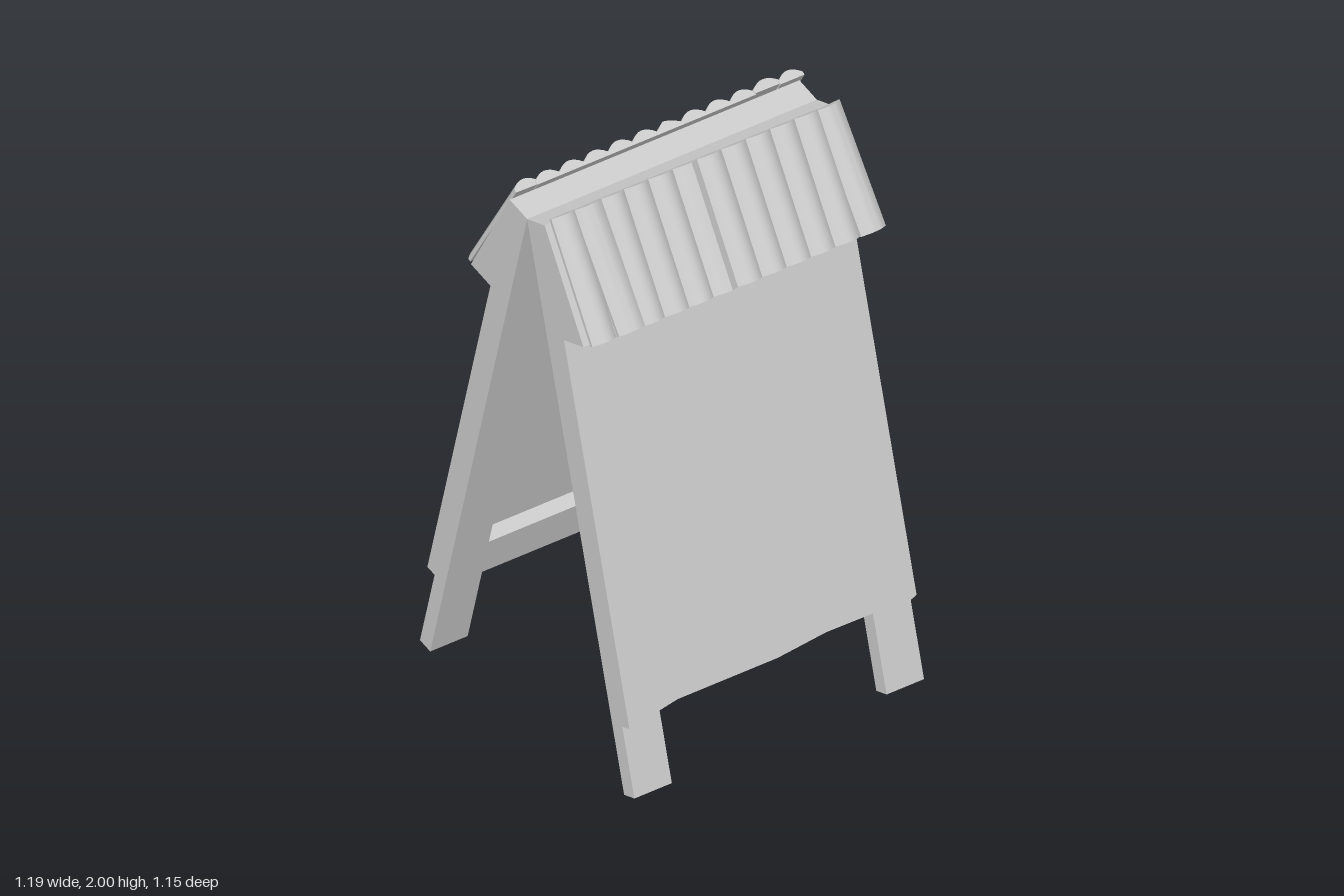
import * as THREE from 'three';
import { toCreasedNormals } from 'three/addons/utils/BufferGeometryUtils.js';

const mat = new THREE.MeshStandardMaterial({ color: 0xcccccc });
const LEAN = THREE.MathUtils.degToRad(15);
const HINGE = 1.94, LEG = 2.008, HALF = 0.58, CENTRE = -0.02;
const FRAME_T = 0.057, BOARD_T = 0.04, STILE = 0.15;

function mesh(name, geometry, parent) {
  const m = new THREE.Mesh(geometry, mat);
  m.name = name;
  parent.add(m);
  return m;
}

// Box given by its limits in x, y and z
function box(name, x0, x1, y0, y1, z0, z1, parent) {
  const m = mesh(name, new THREE.BoxGeometry(x1 - x0, y1 - y0, z1 - z0), parent);
  m.position.set((x0 + x1) / 2, (y0 + y1) / 2, (z0 + z1) / 2);
  return m;
}

const polygon = (pts) => new THREE.Shape(pts.map(([x, y]) => new THREE.Vector2(x, y)));
const extrude = (shape, depth, curveSegments = 8) =>
  new THREE.ExtrudeGeometry(shape, { depth, bevelEnabled: false, curveSegments });

// Corrugated sheet: rounded ribs between the given x edges, running down the slope
function ribbedSheet(name, edges, length, parent, foldedRib = -1) {
  const low = 0.012, peak = 0.036;
  const s = new THREE.Shape();
  const last = edges.length - 1;
  s.moveTo(edges[0], 0);
  s.lineTo(edges[last], 0);
  s.lineTo(edges[last], low);
  for (let i = last; i > 0; i--) {
    const a = edges[i - 1], b = edges[i];
    if (i - 1 === foldedRib) {
      // lapped joint: a flat face up to a ridge, then a slope back down
      const ridge = a + (b - a) * 0.63;
      s.lineTo(ridge, peak);
      s.quadraticCurveTo((a + ridge) / 2, peak - 0.002, a, low);
    } else {
      s.quadraticCurveTo((a + b) / 2, 2 * peak - low, a, low);
    }
  }
  s.lineTo(edges[0], 0);
  const g = extrude(s, length).rotateX(Math.PI / 2);
  return mesh(name, toCreasedNormals(g, 0.6), parent);
}

function ribs(start, pitch, count) {
  return Array.from({ length: count + 1 }, (_, i) => start + i * pitch);
}

// One leaning half of the stand; shift keeps both halves aligned after turning
function createHalf(name, shift) {
  const half = new THREE.Group();
  half.name = name;

  const leaf = new THREE.Group();
  leaf.name = name + 'Leaf';
  leaf.position.set(shift, HINGE, 0);
  leaf.rotation.x = -LEAN;
  half.add(leaf);

  // Frame: two long legs and two rails
  for (const side of [-1, 1]) {
    const outer = side * HALF, inner = side * (HALF - STILE);
    box(side < 0 ? 'rightLeg' : 'leftLeg', Math.min(outer, inner), Math.max(outer, inner), -LEG, 0, 0, FRAME_T, leaf);
  }
  const gap = HALF - STILE;
  box('topRail', -gap, gap, -STILE, 0, 0, FRAME_T, leaf);
  box('bottomRail', -gap, gap, -1.71, -1.57, 0, FRAME_T, leaf);

  // Board with an uneven lower edge
  const lowerEdge = [[-0.58, 0.268], [-0.38, 0.3], [0.02, 0.3], [0.22, 0.318], [0.42, 0.316], [0.55, 0.308], [0.58, 0.318]]
    .map(([x, y]) => [x, (y - 1.965) / Math.cos(LEAN)]);
  const board = mesh('board', extrude(polygon([...lowerEdge, [HALF, 0], [-HALF, 0]]), BOARD_T), leaf);
  board.position.z = FRAME_T;

  // Wedge that carries the awning
  const face = FRAME_T + BOARD_T;
  const wedge = extrude(polygon([[-face, 0], [-face, -0.4], [-face - 0.108, -0.4]]), 2 * HALF);
  wedge.rotateY(Math.PI / 2);   // profile x becomes -z, depth becomes x
  mesh('awningWedge', wedge, leaf).position.x = -HALF;

  // Awning: straight middle sheet with slightly crooked end pieces
  const awning = new THREE.Group();
  awning.name = 'awning';
  awning.position.set(0, 1.98, 0.092);
  awning.rotation.x = -THREE.MathUtils.degToRad(30.5);
  half.add(awning);
  const pitch = 0.0975, len = 0.435;
  ribbedSheet('awningSheet', ribs(-0.387, pitch, 9), len, awning, 3);
  ribbedSheet('awningEndRight', [-0.58, -0.484], len, awning);
  const lapped = ribbedSheet('awningLapRight', [-0.0485, 0.06], len, awning);
  lapped.position.set(-0.443, 0, 0.004);
  lapped.rotation.z = 0.035;
  const loose = ribbedSheet('awningEndLeft', [-0.055, 0.045], len, awning);
  loose.position.set(0.53, 0, 0.002);
  loose.rotation.z = 0.045;
  return half;
}

export function createModel() {
  const model = new THREE.Group();
  model.name = 'sandwichBoard';
  const front = createHalf('front', CENTRE);
  const back = createHalf('back', -CENTRE);
  back.rotation.y = Math.PI;
  model.add(front, back);
  return model;
}
